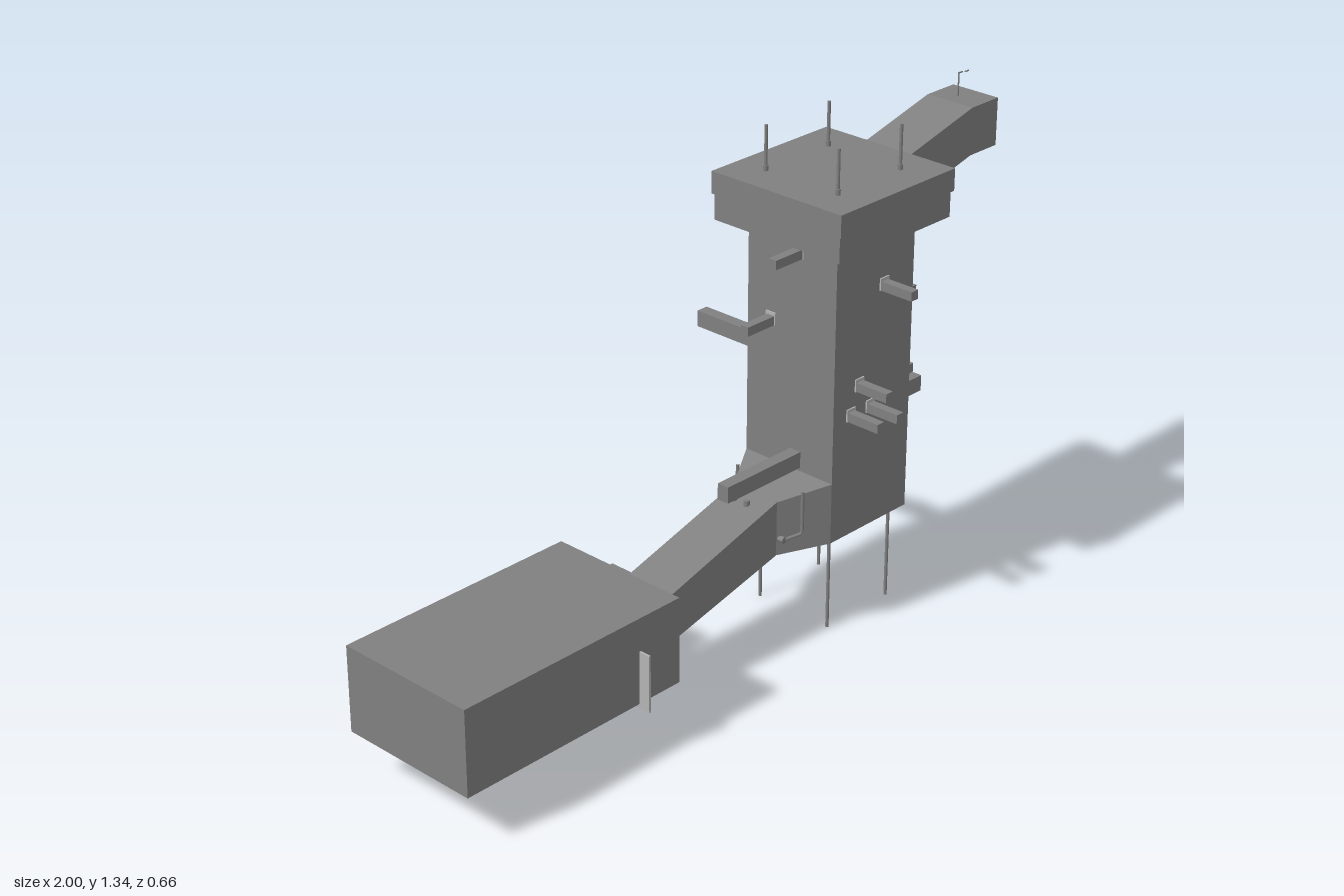
import * as THREE from 'three';

export function createModel() {
  const model = new THREE.Group();
  const grey = new THREE.MeshStandardMaterial({ color: 0x808080 });
  grey.name = 'mid grey';
  const light = new THREE.MeshStandardMaterial({ color: 0xb4b4b4 });
  light.name = 'light grey';

  const add = (name, geometry, material = grey) => {
    const mesh = new THREE.Mesh(geometry, material);
    mesh.name = name;
    model.add(mesh);
    return mesh;
  };
  // Box given by its limits on each axis
  const box = (name, [x0, x1], [y0, y1], [z0, z1], material) => {
    const mesh = add(name, new THREE.BoxGeometry(x1 - x0, y1 - y0, z1 - z0), material);
    mesh.position.set((x0 + x1) / 2, (y0 + y1) / 2, (z0 + z1) / 2);
    return mesh;
  };
  const rod = (name, r, length, x, y, z, axis = 'y') => {
    const mesh = add(name, new THREE.CylinderGeometry(r, r, length, 12));
    mesh.position.set(x, y, z);
    if (axis === 'x') mesh.rotation.z = Math.PI / 2;
    if (axis === 'z') mesh.rotation.x = Math.PI / 2;
    return mesh;
  };
  // Side profile in x and y, extruded from z0 to z1
  const profile = (name, points, z0, z1, material) => {
    const shape = new THREE.Shape(points.map(([x, y]) => new THREE.Vector2(x, y)));
    const geometry = new THREE.ExtrudeGeometry(shape, { depth: z1 - z0, bevelEnabled: false });
    geometry.translate(0, 0, z0);
    return add(name, geometry, material);
  };

  // Tower and two-step cap
  box('tower', [0.29, 0.585], [0.27, 1.08], [-0.06, 0.233]);
  box('capLower', [0.23, 0.65], [1.08, 1.15], [-0.122, 0.29]);
  box('capUpper', [0.225, 0.655], [1.15, 1.21], [-0.127, 0.297]);
  box('capSeam', [0.65, 0.656], [1.147, 1.16], [-0.122, 0.29], light);

  // Four thin rods running through the tower
  for (const x of [0.32, 0.555]) {
    for (const z of [-0.033, 0.203]) {
      rod('cornerRod', 0.0045, 1.33, x, 0.665, z);
      rod('rodCollar', 0.007, 0.02, x, 1.215, z);
    }
  }

  // Upper arm with a small mast
  profile('upperArm', [[0.64, 1.08], [0.655, 1.08], [0.895, 1.14], [1, 1.14],
    [1, 1.27], [0.895, 1.27], [0.655, 1.21], [0.64, 1.21]], 0.01, 0.157);
  rod('mast', 0.002, 0.065, 0.938, 1.3025, 0.075);
  rod('mastTip', 0.002, 0.014, 0.945, 1.333, 0.075, 'x');
  rod('mastTip', 0.002, 0.014, 0.971, 1.33, 0.075, 'x');

  // Lower ramp and its flared joint with the tower
  profile('ramp', [[-0.31, 0.14], [-0.305, 0.14], [0.175, 0.255], [0.175, 0.408],
    [-0.305, 0.27], [-0.31, 0.27]], 0.007, 0.155);
  const flare = new THREE.BoxGeometry(0.12, 1, 1);
  const p = flare.attributes.position;
  for (let i = 0; i < p.count; i++) {
    const inner = p.getX(i) > 0, top = p.getY(i) > 0, front = p.getZ(i) > 0;
    p.setXYZ(i, inner ? 0.29 : 0.17,
      top ? (inner ? 0.44 : 0.406) : (inner ? 0.27 : 0.254),
      front ? (inner ? 0.233 : 0.155) : (inner ? -0.06 : 0.007));
  }
  const flareFlat = flare.toNonIndexed();
  flareFlat.computeVertexNormals();
  add('rampFlare', flareFlat);

  // Large block with a thin cross panel
  box('largeBlock', [-1, -0.305], [0.137, 0.373], [-0.137, 0.27]);
  box('crossPanel', [-0.443, -0.437], [0.125, 0.282], [-0.173, 0.302], light);

  // Small block beside the ramp, with a pale brace and round ports
  box('smallBlock', [-0.306, -0.13], [0.06, 0.24], [-0.135, -0.012]);
  profile('brace', [[-0.3, 0.137], [-0.2, 0.06], [-0.14, 0.06], [-0.255, 0.145]], -0.012, -0.009, light);
  for (const z of [-0.075, -0.107]) {
    rod('port', 0.014, 0.01, -0.126, 0.147, z, 'x');
    rod('foot', 0.012, 0.006, -0.145, 0.057, z);
  }

  // Pegs: [direction, across, height], short or long
  const peg = (side, across, y, long) => {
    const len = long ? 0.27 : 0.1, w = long ? 0.0175 : 0.0125, h = long ? 0.0225 : 0.0125;
    const faces = { px: 0.585, nx: 0.29, pz: 0.233, nz: -0.06 };
    const f = faces[side], sign = side[0] === 'p' ? 1 : -1;
    const span = (d) => [Math.min(f, f + sign * d), Math.max(f, f + sign * d)];
    const put = (name, d, a, b0, b1, m) => {
      const wide = [across - a, across + a], ys = [y - b0, y + b1];
      if (side[1] === 'x') box(name, span(d), ys, wide, m);
      else box(name, wide, ys, span(d), m);
    };
    put(long ? 'longPeg' : 'shortPeg', len, w, h, h);
    if (!long) put('pegCollar', 0.004, 0.016, 0.0125, 0.021, light);
  };
  for (const [x, y] of [[0.47, 0.935], [0.385, 0.685], [0.355, 0.611], [0.43, 0.611]]) peg('pz', x, y);
  for (const [z, y] of [[0.152, 0.833], [0.033, 0.712], [0.152, 0.611]]) peg('px', z, y);
  for (const [z, y] of [[0.11, 1.04], [0.02, 0.833]]) peg('nx', z, y);
  peg('nz', 0.5, 0.611);
  peg('px', 0.04, 0.472, true);
  peg('nx', 0.108, 0.472, true);
  peg('nz', 0.407, 0.693, true);

  // Small knobs along the ramp top
  for (const [x, y] of [[-0.27, 0.283], [0.125, 0.397]]) {
    for (const z of [0.05, 0.093]) rod('rampKnob', 0.008, 0.02, x, y, z);
  }

  // Bent pipe and bolts on both sides of the flare
  for (const s of [-1, 1]) {
    const at = (x, y, off) => new THREE.Vector3(x, y, 0.081 + s * off);
    const path = new THREE.CurvePath();
    const pts = [at(0.225, 0.43, 0.112), at(0.225, 0.31, 0.112), at(0.185, 0.3, 0.09)];
    path.add(new THREE.LineCurve3(pts[0], pts[1]));
    path.add(new THREE.LineCurve3(pts[1], pts[2]));
    add('bentPipe', new THREE.TubeGeometry(path, 12, 0.005, 6));
    rod('flareBolt', 0.009, 0.02, 0.18, 0.3, 0.081 + s * 0.083, 'z');
  }
  return model;
}
